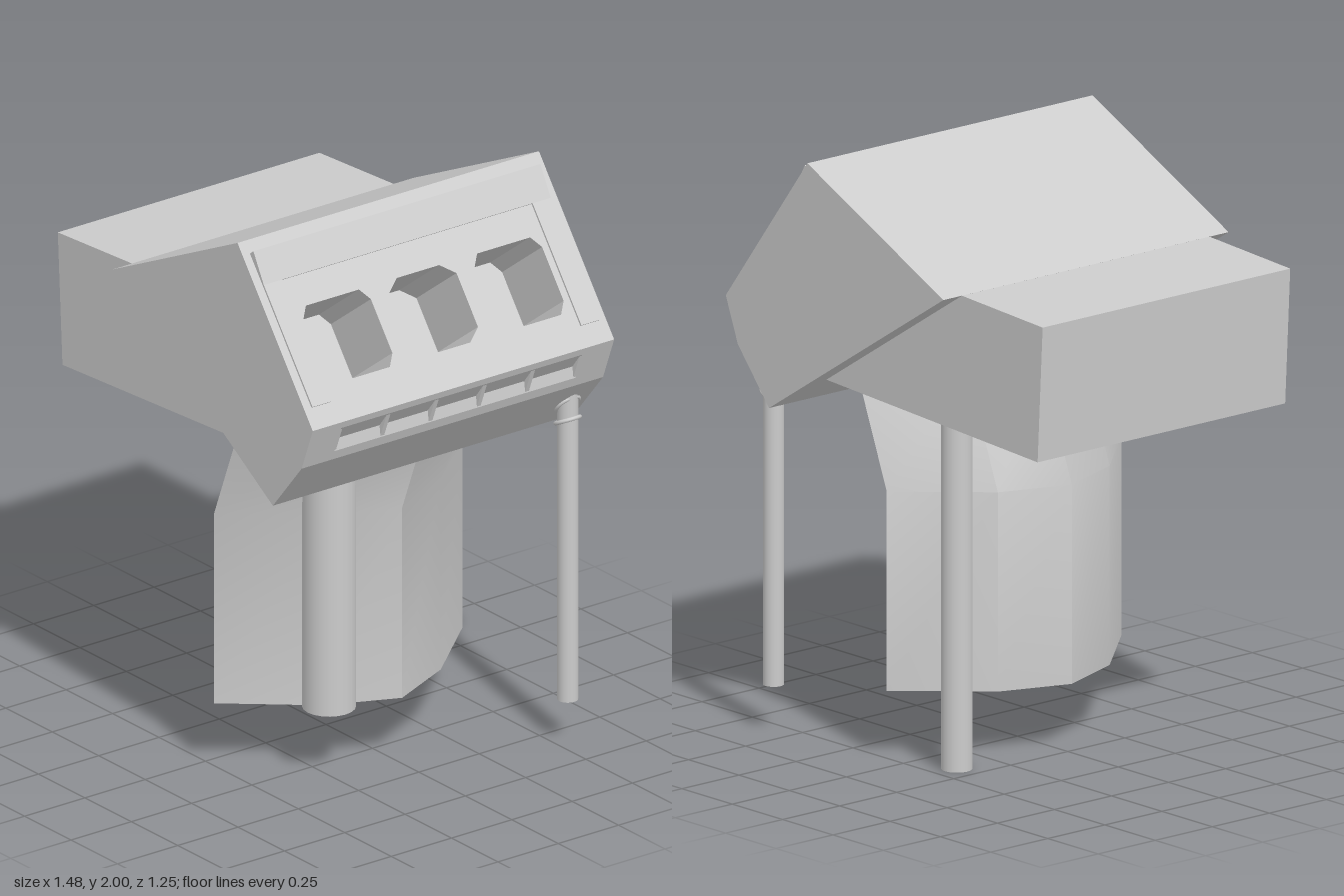
import * as THREE from 'three';
import { toCreasedNormals } from 'three/addons/utils/BufferGeometryUtils.js';

const grey = new THREE.MeshStandardMaterial({ color: 0xcccccc });
const greyDouble = new THREE.MeshStandardMaterial({ color: 0xcccccc, side: THREE.DoubleSide });
const HALF = 0.625; // half width of the head

const points = (list) => list.map(([x, y]) => new THREE.Vector2(x, y));

function add(parent, name, geometry, material = grey) {
  const mesh = new THREE.Mesh(geometry, material);
  mesh.name = name;
  parent.add(mesh);
  return mesh;
}

// Rectangle with cut corners, centred on (x, y)
function cutRect(x, y, w, h, cx, cy) {
  const a = w / 2, b = h / 2;
  return points([
    [-a + cx, -b], [a - cx, -b], [a, -b + cy], [a, b - cy],
    [a - cx, b], [-a + cx, b], [-a, b - cy], [-a, -b + cy],
  ].map(([u, v]) => [x + u, y + v]));
}

// Open pocket behind a hole: inner walls and a floor
function addPocket(parent, name, outline, depth) {
  const verts = [];
  outline.forEach((p, i) => {
    const q = outline[(i + 1) % outline.length];
    verts.push(p.x, p.y, 0, q.x, q.y, -depth, q.x, q.y, 0);
    verts.push(p.x, p.y, 0, p.x, p.y, -depth, q.x, q.y, -depth);
  });
  const walls = new THREE.BufferGeometry();
  walls.setAttribute('position', new THREE.Float32BufferAttribute(verts, 3));
  walls.computeVertexNormals();
  add(parent, name + 'Walls', walls, greyDouble);
  add(parent, name + 'Floor', new THREE.ShapeGeometry(new THREE.Shape(outline)), greyDouble).position.z = -depth;
}

// Flat head panel over the profile edge a-b; local y runs from b up to a, z points outward
function panel(parent, name, a, b, holes = []) {
  const dir = b.clone().sub(a), h = dir.length() / 2;
  dir.normalize();
  const y = new THREE.Vector3(-dir.x, -dir.y, 0);
  const n = new THREE.Vector3(-dir.y, dir.x, 0);
  const x = y.clone().cross(n);
  const group = new THREE.Group();
  group.name = name;
  group.quaternion.setFromRotationMatrix(new THREE.Matrix4().makeBasis(x, y, n));
  group.position.set((a.x + b.x) / 2, (a.y + b.y) / 2, 0);
  const shape = new THREE.Shape(points([[-HALF, -h], [HALF, -h], [HALF, h], [-HALF, h]]));
  for (const hole of holes) shape.holes.push(new THREE.Path(hole));
  add(group, name + 'Face', new THREE.ShapeGeometry(shape), greyDouble);
  parent.add(group);
  return group;
}

// Raised trim: a wedge-shaped bar across the top and two thin arms
function addTrim(front) {
  const bar = new THREE.BoxGeometry(1.19, 0.115, 0.01);
  const pos = bar.attributes.position;
  for (let i = 0; i < pos.count; i++) {
    const outer = pos.getY(i) > 0 ? 0.024 : 0.007;
    pos.setZ(i, pos.getZ(i) > 0 ? outer : -0.004);
  }
  bar.computeVertexNormals();
  add(front, 'trimBar', bar).position.y = 0.2325;
  for (const side of [-1, 1]) {
    add(front, 'trimArm', new THREE.BoxGeometry(0.075, 0.435, 0.011)).position.set(side * 0.5575, -0.0425, 0.0015);
  }
}

// Shallow V groove split into five by thin ribs
function addGroove(parent, top, low) {
  const crease = -0.01, depth = 0.02;
  const groove = new THREE.PlaneGeometry(1, 1, 1, 2);
  const pos = groove.attributes.position;
  for (let i = 0; i < pos.count; i++) {
    const row = Math.floor(i / 2);
    pos.setY(i, [top, crease, low][row]);
    pos.setZ(i, row === 1 ? -depth : 0);
  }
  add(parent, 'groove', toCreasedNormals(groove, 0.1), greyDouble);
  const section = new THREE.Shape(points([[0.002, top], [depth, crease], [0.002, low]]));
  for (let i = 0; i < 6; i++) {
    const rib = new THREE.ExtrudeGeometry(section, { depth: 0.016, bevelEnabled: false });
    rib.translate(0, 0, -0.008);
    rib.rotateY(Math.PI / 2); // section x becomes depth, extrusion runs sideways
    add(parent, 'grooveRib', rib).position.x = -0.5 + i * 0.2;
  }
}

function buildHead(root) {
  const head = new THREE.Group();
  head.name = 'head';
  root.add(head);
  const p = points([[-0.34, 1.675], [0.335, 2], [0.74, 1.465], [0.68, 1.31], [0.525, 1.125]]);

  for (const z of [-HALF, HALF]) {
    add(head, 'headSide', new THREE.ShapeGeometry(new THREE.Shape(p)), greyDouble).position.z = z;
  }

  const windows = [-1, 0, 1].map((i) =>
    cutRect(i * 0.355, -0.068, 0.28, 0.276, i ? 0.03 : 0.052, 0.042));
  const top = 0.056, low = -0.046;
  const slot = points([[-0.5, low], [0.5, low], [0.5, top], [-0.5, top]]);

  panel(head, 'roof', p[0], p[1]);
  const front = panel(head, 'windowPanel', p[1], p[2], windows);
  for (const outline of windows) addPocket(front, 'window', outline, 0.27);
  addTrim(front);
  addGroove(panel(head, 'groovePanel', p[2], p[3], [slot]), top, low);
  panel(head, 'chin', p[3], p[4]);
  panel(head, 'underside', p[4], p[0]);
}

// Eight-sided pillar, upright below and leaning forward above
function pillarGeometry() {
  const plan = [[0.069, 0.517], [0.3, 0.245], [0.41, 0], [0.3, -0.245],
    [0.069, -0.512], [-0.18, -0.245], [-0.27, 0], [-0.18, 0.245]];
  const levels = [[0.235, 0], [0.915, 0], [1.3, 0.15]]; // height, forward shift
  const n = plan.length, verts = [], index = [];
  for (const [y, dx] of levels) for (const [x, z] of plan) verts.push(x + dx, y, z);
  for (let l = 0; l < levels.length - 1; l++) {
    for (let i = 0; i < n; i++) {
      const a = l * n + i, b = l * n + (i + 1) % n;
      index.push(a, b, b + n, a, b + n, a + n);
    }
  }
  const t = (levels.length - 1) * n;
  for (let i = 1; i < n - 1; i++) index.push(0, i + 1, i, t, t + i, t + i + 1);
  const g = new THREE.BufferGeometry();
  g.setAttribute('position', new THREE.Float32BufferAttribute(verts, 3));
  g.setIndex(index);
  return toCreasedNormals(g, 0.5);
}

function post(root, name, x, z, r, y0, y1) {
  const g = new THREE.CylinderGeometry(r, r, y1 - y0, 20);
  add(root, name, g).position.set(x, (y0 + y1) / 2, z);
}

export function createModel() {
  const root = new THREE.Group();
  root.name = 'model';
  buildHead(root);

  // Rear box running into the head
  const rear = new THREE.ExtrudeGeometry(new THREE.Shape(points([
    [-0.74, 1.65], [-0.715, 1.185], [0.335, 1.247], [0.12, 1.55], [-0.335, 1.675],
  ])), { depth: 1.085, bevelEnabled: false });
  rear.translate(0, 0, -0.543);
  add(root, 'rearBox', rear);

  // Supports
  add(root, 'pillar', pillarGeometry());
  post(root, 'pillarColumn', 0.318, 0.232, 0.089, 0.235, 1.25);
  post(root, 'rearPost', -0.163, -0.41, 0.052, 0, 1.26);
  post(root, 'frontPost', 0.596, -0.543, 0.035, 0.153, 1.27);

  // Rings on the front post: a loose one, and one lying against the chin
  for (const [x, y, tilt] of [[0.596, 1.15, 0.46], [0.596, 1.207, 0.873]]) {
    const ring = add(root, 'postRing', new THREE.TorusGeometry(0.042, 0.007, 8, 24).rotateX(Math.PI / 2));
    ring.position.set(x, y, -0.543);
    ring.rotation.z = tilt;
  }
  return root;
}
